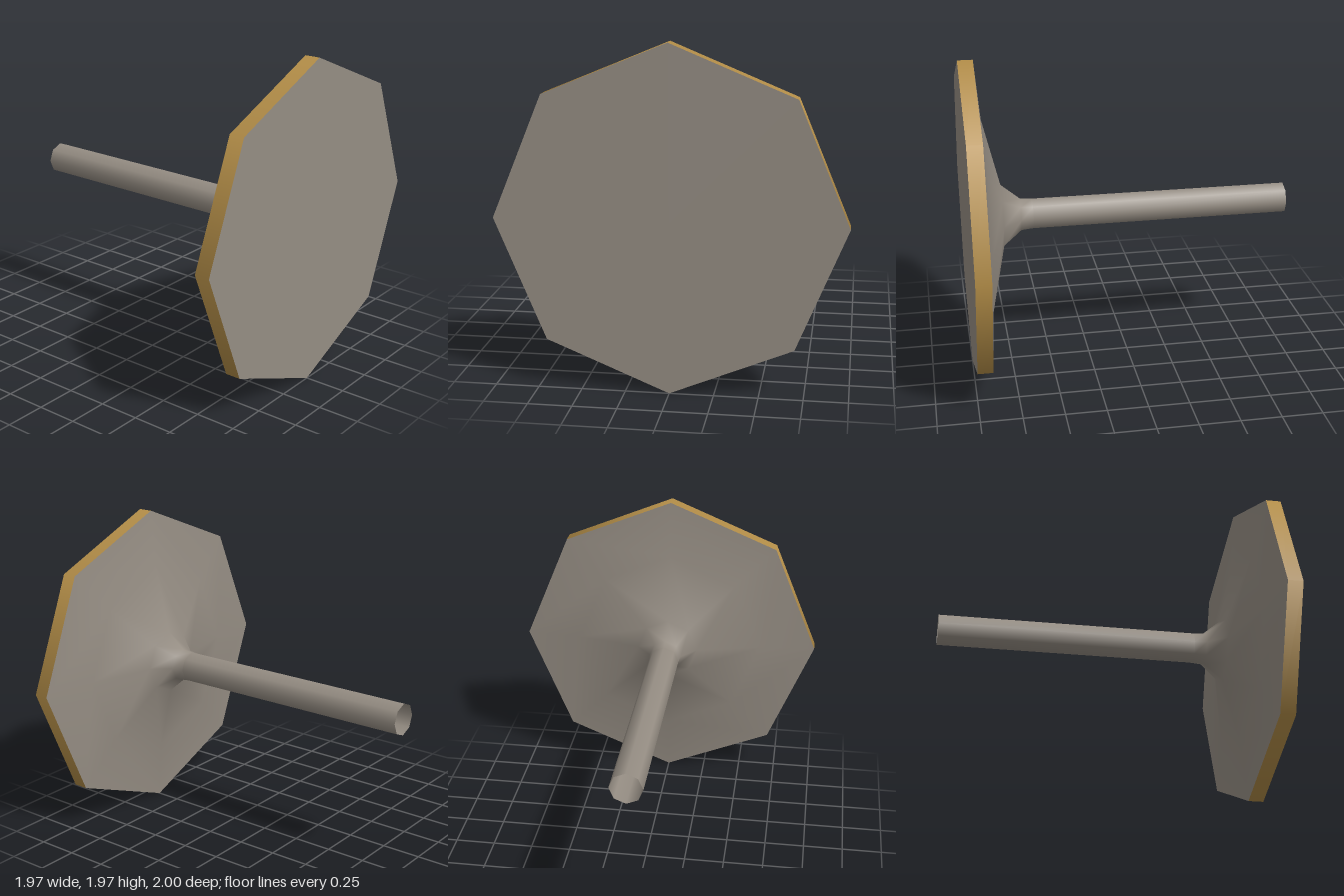
import * as THREE from 'three';

const SIDES = 8, RADIUS = 0.985;

export function createModel() {
  const metal = new THREE.MeshStandardMaterial({ color: 0x958d83, side: THREE.DoubleSide });
  metal.name = 'warm grey metal';
  const brass = new THREE.MeshStandardMaterial({ color: 0xb48e48 });
  brass.name = 'brass';

  const group = new THREE.Group();
  group.name = 'mushroomValve';

  const add = (name, geometry, material) => {
    const mesh = new THREE.Mesh(geometry, material);
    mesh.name = name;
    mesh.position.y = RADIUS;
    group.add(mesh);
    return mesh;
  };

  // Eight-sided turned part along z, from [radius, z] pairs
  const turned = (profile) =>
    new THREE.LatheGeometry(profile.map(([r, z]) => new THREE.Vector2(r, z)), SIDES).rotateX(Math.PI / 2);

  // Hollow stem, open at the back
  add('stem', turned([[0.098, -1], [0.098, 0.59]]), metal);

  // Flared back of the head
  add('flare', turned([[0.098, 0.59], [0.105, 0.665], [0.2, 0.778], [0.62, 0.878], [RADIUS, 0.908]]), metal);

  // Rim band
  add('rim', turned([[RADIUS, 0.908], [RADIUS, 1]]), brass);

  // Flat front face
  add('face', new THREE.CircleGeometry(RADIUS, SIDES), metal).position.z = 1;

  return group;
}
